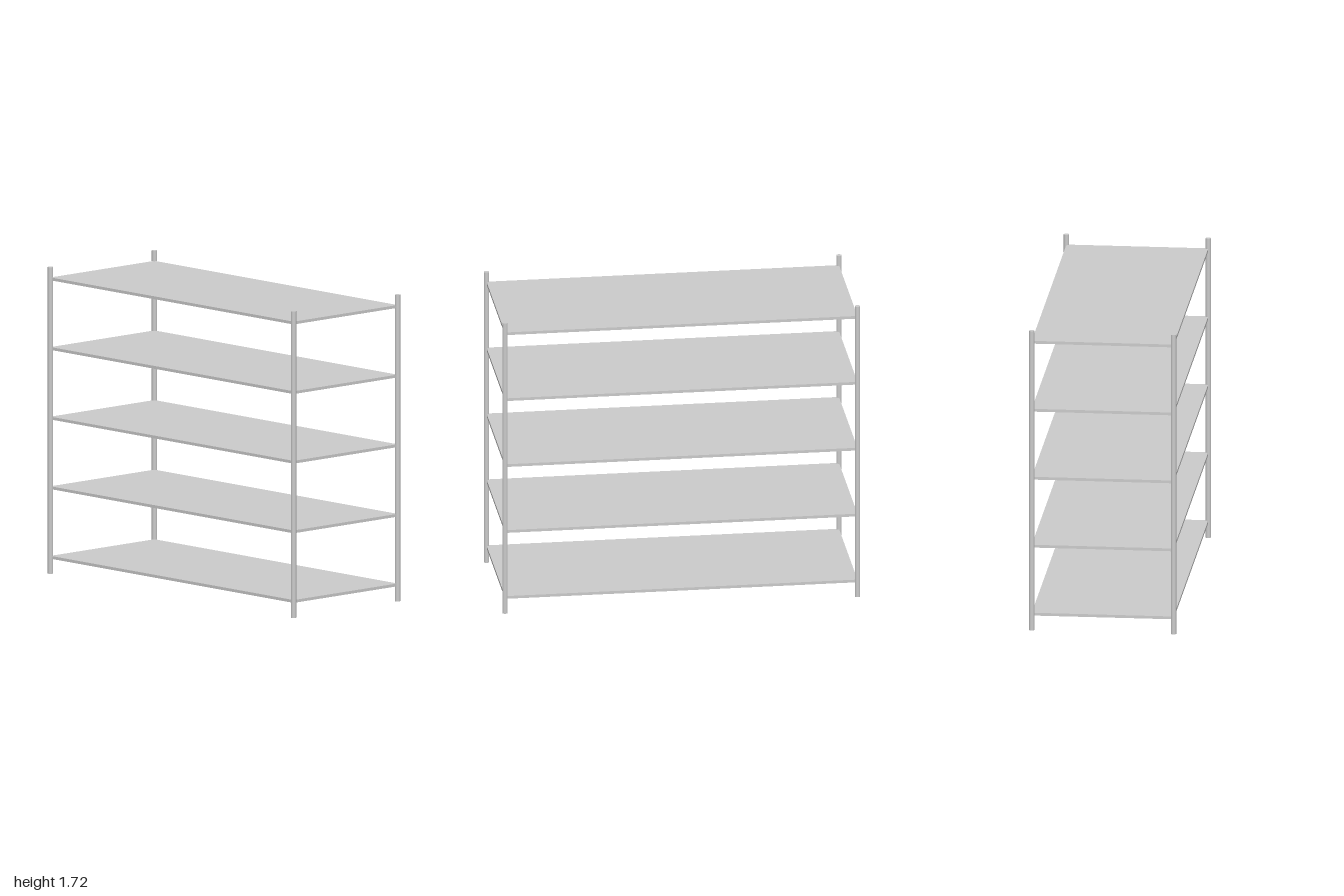
import * as THREE from 'three';

const HEIGHT = 1.724, POST_X = 0.985, POST_Z = 0.395, POST_RADIUS = 0.015;
const SHELF_COUNT = 5, FIRST_SHELF = 0.091, SHELF_STEP = 0.3915, SHELF_THICKNESS = 0.016;

export function createModel() {
  const model = new THREE.Group();
  model.name = 'shelvingUnit';
  const material = new THREE.MeshStandardMaterial({ color: 0xcccccc });

  // Four round corner posts
  const postGeometry = new THREE.CylinderGeometry(POST_RADIUS, POST_RADIUS, HEIGHT, 24);
  for (const [xName, sx] of [['Left', 1], ['Right', -1]]) {
    for (const [zName, sz] of [['front', 1], ['back', -1]]) {
      const post = new THREE.Mesh(postGeometry, material);
      post.name = `${zName}${xName}Post`;
      post.position.set(sx * POST_X, HEIGHT / 2, sz * POST_Z);
      model.add(post);
    }
  }

  // Evenly spaced thin shelves, with corners centred in the posts
  const shelfGeometry = new THREE.BoxGeometry(POST_X * 2, SHELF_THICKNESS, POST_Z * 2);
  for (let i = 0; i < SHELF_COUNT; i++) {
    const shelf = new THREE.Mesh(shelfGeometry, material);
    shelf.name = `shelf${i + 1}`;
    shelf.position.y = FIRST_SHELF + i * SHELF_STEP;
    model.add(shelf);
  }

  return model;
}
